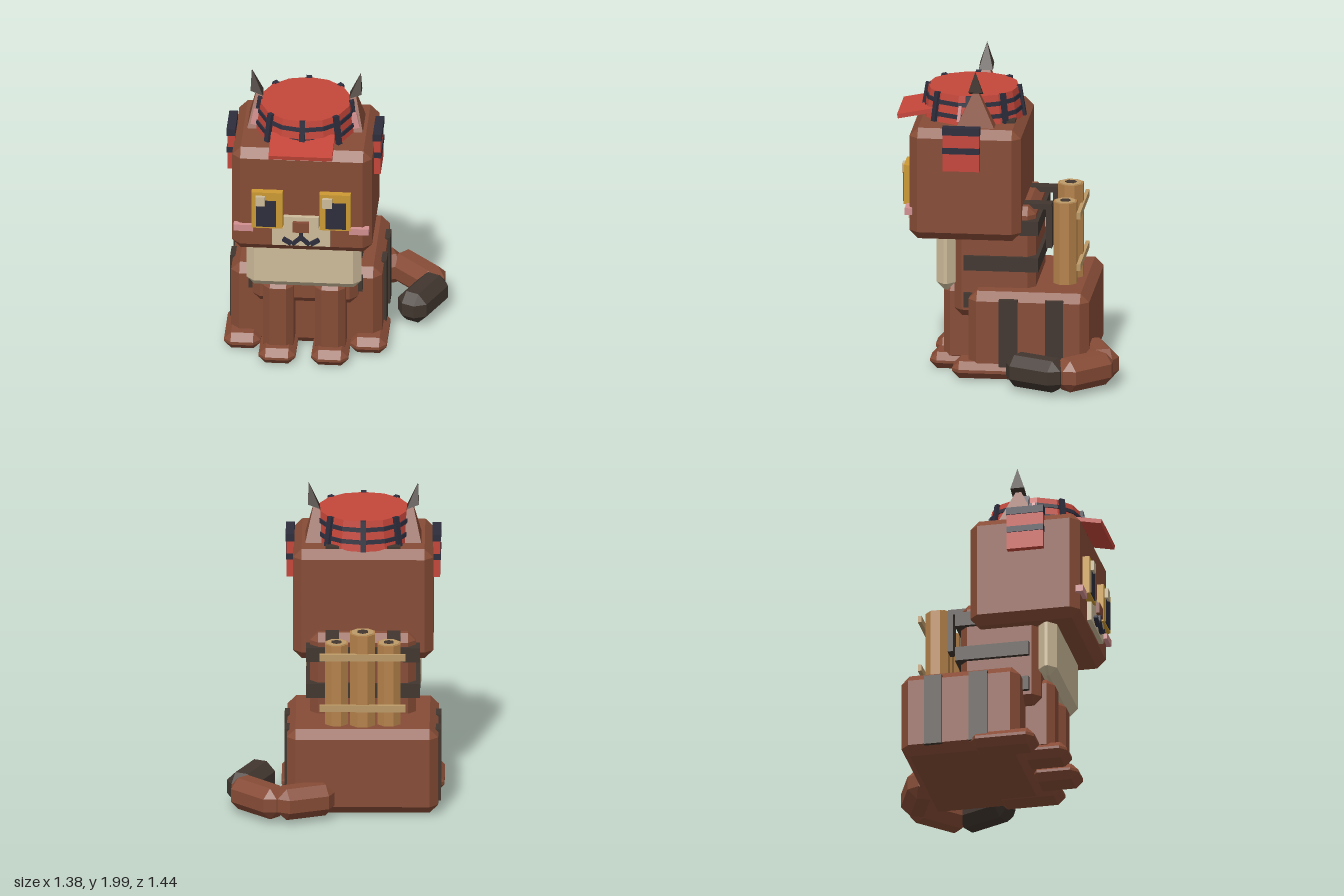
import * as THREE from 'three';
import { ConvexGeometry } from 'three/addons/geometries/ConvexGeometry.js';

const mat = (name, color) => {
  const m = new THREE.MeshStandardMaterial({ color, flatShading: true });
  m.name = name;
  return m;
};

export function createModel() {
  const fur = mat('brown fur', 0x874c36), dark = mat('dark brown', 0x41362f);
  const red = mat('red', 0xc4463a), navy = mat('navy', 0x2d2d3d);
  const gold = mat('gold', 0xcc9933), cream = mat('cream', 0xcdbb9a);
  const pink = mat('pink', 0xd18f8f), wood = mat('wood', 0xb5824a);
  const paleWood = mat('pale wood', 0xbd9a68);

  const model = new THREE.Group();
  model.name = 'cat';
  // everything but the tail is symmetric about this group's x = 0
  const cat = new THREE.Group();
  cat.name = 'body';
  cat.position.x = -0.172;
  model.add(cat);

  const add = (name, geo, material, x = 0, y = 0, z = 0, parent = cat) => {
    const m = new THREE.Mesh(geo, material);
    m.name = name;
    m.position.set(x, y, z);
    parent.add(m);
    return m;
  };

  // box with bevelled edges and corners
  const bevelGeo = (w, h, d, c) => {
    const p = [];
    for (const i of [-1, 1]) for (const j of [-1, 1]) for (const k of [-1, 1]) {
      const x = i * w / 2, y = j * h / 2, z = k * d / 2;
      p.push(new THREE.Vector3(x, y - j * c, z - k * c),
        new THREE.Vector3(x - i * c, y, z - k * c),
        new THREE.Vector3(x - i * c, y - j * c, z));
    }
    return new ConvexGeometry(p);
  };
  // boxes given by their minimum and maximum on each axis
  const bevel = (name, m, c, x0, x1, y0, y1, z0, z1) =>
    add(name, bevelGeo(x1 - x0, y1 - y0, z1 - z0, c), m, (x0 + x1) / 2, (y0 + y1) / 2, (z0 + z1) / 2);
  const box = (name, m, x0, x1, y0, y1, z0, z1) =>
    add(name, new THREE.BoxGeometry(x1 - x0, y1 - y0, z1 - z0), m, (x0 + x1) / 2, (y0 + y1) / 2, (z0 + z1) / 2);
  const slab = (name, m, w, h, d, x, y, z) => add(name, new THREE.BoxGeometry(w, h, d), m, x, y, z);

  // main masses
  bevel('haunches', fur, 0.055, -0.48, 0.48, 0.015, 0.575, -0.53, 0.24);
  bevel('torso', fur, 0.05, -0.335, 0.335, 0.37, 1.1, -0.175, 0.345);
  bevel('chestBib', cream, 0.05, -0.365, 0.365, 0.545, 1.0, 0.335, 0.455);
  bevel('head', fur, 0.055, -0.445, 0.445, 0.9, 1.63, -0.09, 0.62);

  // straps round the torso
  for (const y of [0.49, 0.735, 0.975]) box('torsoStrap', dark, -0.362, 0.362, y - 0.047, y + 0.047, -0.198, 0.28);

  for (const s of [-1, 1]) {
    const pair = (fn, name, m, ...a) => { // mirror an x range to side s
      const o = fn === bevel ? 1 : 0;
      const [p, q] = [a[o] * s, a[o + 1] * s];
      a[o] = Math.min(p, q);
      a[o + 1] = Math.max(p, q);
      return fn(name, m, ...a);
    };
    // legs and paws
    pair(bevel, 'frontLeg', fur, 0.045, 0.068, 0.262, 0.05, 0.565, 0.18, 0.42);
    pair(bevel, 'frontPaw', fur, 0.045, 0.05, 0.285, 0.003, 0.11, 0.2, 0.505);
    pair(bevel, 'hindPaw', fur, 0.045, 0.285, 0.517, 0.01, 0.12, -0.08, 0.34);

    // side straps and pack straps
    pair(box, 'frontHaunchStrap', dark, 0.45, 0.497, 0.06, 0.537, -0.08, 0.04);
    pair(box, 'rearHaunchStrap', dark, 0.45, 0.497, 0.06, 0.537, -0.37, -0.255);
    pair(box, 'packStrapTop', dark, 0.152, 0.237, 1.07, 1.105, -0.27, 0.02);
    pair(box, 'packStrapBack', dark, 0.152, 0.237, 0.815, 1.09, -0.272, -0.235);
    pair(box, 'headStrap', dark, 0.152, 0.237, 1.58, 1.645, -0.035, 0.06);

    // red side flaps with navy trim
    pair(box, 'sideFlap', red, 0.44, 0.487, 1.375, 1.62, 0.165, 0.4);
    pair(box, 'sideFlapTop', navy, 0.437, 0.493, 1.613, 1.662, 0.162, 0.403);
    pair(box, 'sideFlapBand', navy, 0.445, 0.492, 1.49, 1.53, 0.164, 0.401);

    // eyes and cheeks
    pair(box, 'eye', gold, 0.117, 0.315, 1.1, 1.357, 0.6, 0.665);
    pair(box, 'pupil', navy, 0.158, 0.286, 1.113, 1.3, 0.66, 0.672);
    pair(box, 'cheek', pink, 0.305, 0.43, 1.063, 1.107, 0.6, 0.647);

    // mouth curves
    slab('mouthInner', navy, 0.065, 0.022, 0.03, s * 0.03, 1.012, 0.66).rotation.z = -s * 0.75;
    slab('mouthOuter', navy, 0.06, 0.025, 0.03, s * 0.088, 1.01, 0.66).rotation.z = s * 0.55;

    // ear: pyramid leaning outward, with a dark tip and pink lining
    const ear = new ConvexGeometry([
      [0.17, 1.6, 0.07], [0.375, 1.6, 0.07], [0.375, 1.6, 0.34], [0.17, 1.6, 0.34], [0.307, 1.885, 0.205],
    ].map(([x, y, z]) => new THREE.Vector3(s * x, y, z)));
    add('ear', ear, fur);
    const tip = new ConvexGeometry([
      [0.275, 1.83, 0.16], [0.352, 1.86, 0.16], [0.352, 1.86, 0.25], [0.275, 1.83, 0.25], [0.347, 1.997, 0.205],
    ].map(([x, y, z]) => new THREE.Vector3(s * x, y, z)));
    add('earTip', tip, dark);
    slab('earLining', pink, 0.055, 0.1, 0.02, s * 0.31, 1.705, 0.31).rotation.set(-0.1, 0, s * 0.2);
  }

  // eye highlights sit on the same side of both eyes
  box('leftEyeHighlight', cream, 0.137, 0.2, 1.27, 1.335, 0.66, 0.688);
  box('rightEyeHighlight', cream, -0.288, -0.228, 1.27, 1.335, 0.66, 0.688);

  // muzzle and nose
  box('muzzleUpper', cream, -0.112, 0.112, 1.09, 1.178, 0.6, 0.65);
  box('muzzleLower', cream, -0.185, 0.185, 0.972, 1.1, 0.6, 0.65);
  box('nose', fur, -0.052, 0.052, 1.08, 1.15, 0.64, 0.675);
  box('mouthMiddle', navy, -0.011, 0.011, 1.02, 1.08, 0.64, 0.673);

  // cap: tapered drum with navy bands, ribs and a visor
  const capZ = 0.253, capR = (y) => 0.32 - (y - 1.62) * 0.16;
  const drum = (name, m, y0, y1, extra) =>
    add(name, new THREE.CylinderGeometry(capR(y1) + extra, capR(y0) + extra, y1 - y0, 14), m, 0, (y0 + y1) / 2, capZ);
  drum('cap', red, 1.62, 1.815, 0);
  drum('capLowerBand', navy, 1.668, 1.694, 0.008);
  drum('capUpperBand', navy, 1.746, 1.772, 0.008);
  for (let i = 0; i < 8; i++) {
    const rib = new THREE.Group();
    rib.name = 'capRib';
    rib.position.set(0, 1.72, capZ);
    rib.rotation.y = i * Math.PI / 4;
    cat.add(rib);
    add('rib', new THREE.BoxGeometry(0.035, 0.2, 0.03), navy, 0, 0, capR(1.72) + 0.002, rib).rotation.x = -0.16;
  }
  slab('visor', red, 0.405, 0.028, 0.23, 0, 1.668, 0.605).rotation.x = 0.2;

  // bundle of three logs held by two slats
  for (const [x, z, r, top] of [[-0.166, -0.35, 0.079, 1.11], [0, -0.367, 0.086, 1.185], [0.166, -0.35, 0.079, 1.11]]) {
    const cyl = (name, m, rad, y0, y1, sides) =>
      add(name, new THREE.CylinderGeometry(rad, rad, y1 - y0, sides), m, x, (y0 + y1) / 2, z).rotation.y = sides === 8 ? Math.PI / 8 : 0;
    cyl('log', wood, r, 0.57, top, 8);
    cyl('logEnd', paleWood, r * 0.86, top - 0.004, top + 0.004, 8);
    cyl('logCore', dark, r * 0.45, top, top + 0.007, 6);
  }
  for (const y of [0.703, 1.043]) box('logSlat', paleWood, -0.273, 0.273, y - 0.022, y + 0.022, -0.457, -0.433);

  // tail: three bevelled segments curling to the left side
  for (const [name, m, x, z, len, dx, dz] of [
    ['tailBase', fur, 0.2, -0.58, 0.385, 0.93, -0.36],
    ['tailMiddle', fur, 0.485, -0.52, 0.41, 0.707, 0.707],
    ['tailTip', dark, 0.537, -0.225, 0.4, -0.42, 0.91],
  ]) add(name, bevelGeo(len, 0.206, 0.206, 0.06), m, x, 0.132, z, model).rotation.y = Math.atan2(-dz, dx);

  return model;
}
